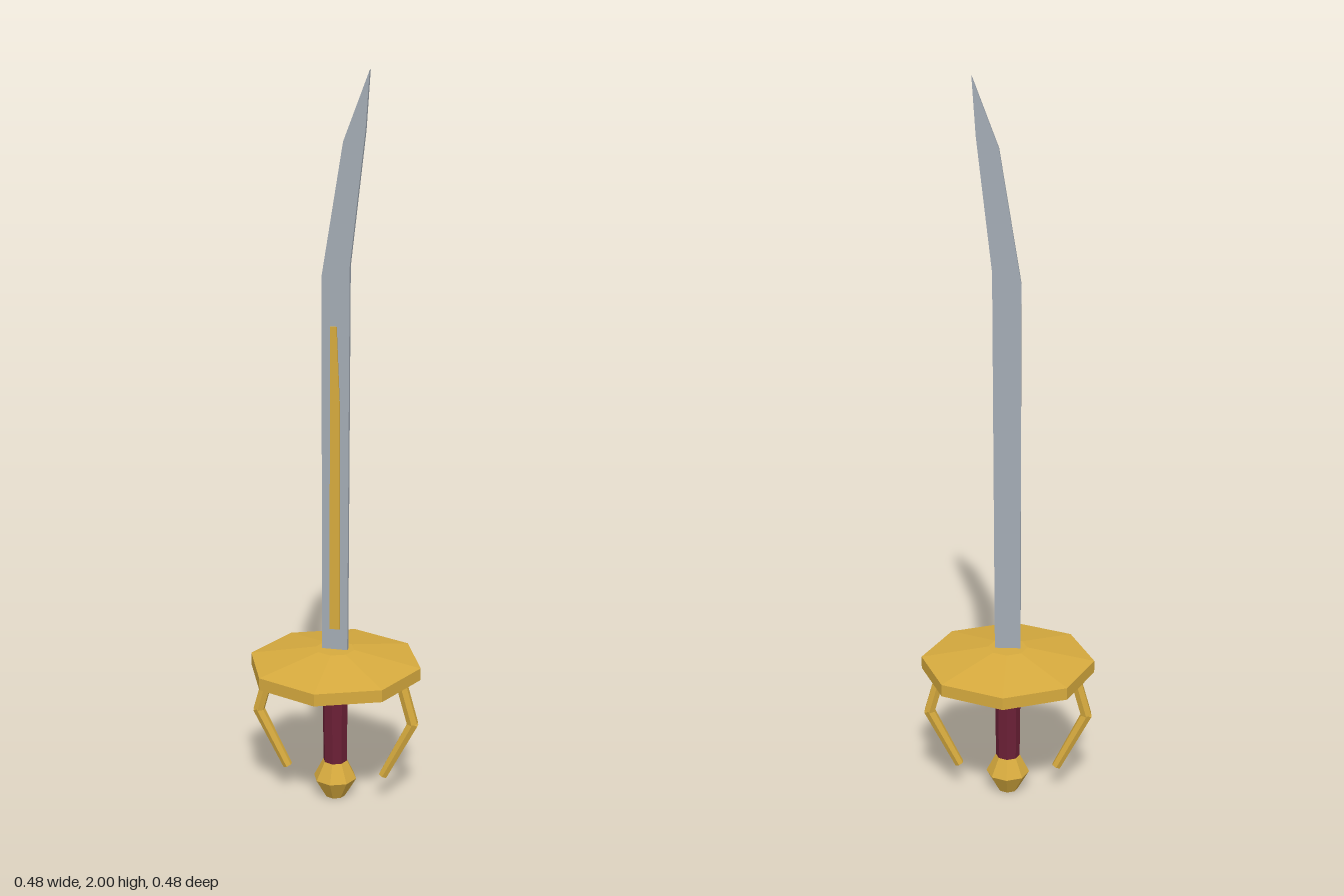
import * as THREE from 'three';

const flat = (name, color) => new THREE.MeshStandardMaterial({ name, color, flatShading: true });

export function createModel() {
  const gold = flat('gold', 0xd6aa3e);
  const steel = flat('steel', 0xa3abb4);
  const leather = flat('dark red leather', 0x6b2036);
  const group = new THREE.Group();

  const add = (name, geometry, material, parent = group) => {
    const mesh = new THREE.Mesh(geometry, material);
    mesh.name = name;
    parent.add(mesh);
    return mesh;
  };
  const lathe = (points) =>
    new THREE.LatheGeometry(points.map(([r, y]) => new THREE.Vector2(r, y)), 8);
  // Flat outline extruded from z0 to z1
  const plate = (points, z0, z1) => {
    const shape = new THREE.Shape(points.map(([x, y]) => new THREE.Vector2(x, y)));
    return new THREE.ExtrudeGeometry(shape, { depth: z1 - z0, bevelEnabled: false }).translate(0, 0, z0);
  };

  // Pommel, grip and dished octagonal guard
  add('pommel', lathe([[0, 0], [0.028, 0.002], [0.06, 0.057], [0.034, 0.108], [0, 0.112]]), gold);
  add('grip', new THREE.CylinderGeometry(0.036, 0.033, 0.28, 8).translate(0, 0.24, 0), leather);
  add('guard', lathe([[0, 0.37], [0.238, 0.37], [0.238, 0.404], [0.054, 0.44], [0, 0.44]]), gold);

  // Curved blade with a single sweeping tip
  add('blade', plate([
    [-0.035, 0.4], [0.035, 0.4], [0.04, 1.5], [0.08, 1.85],
    [0.09, 2], [0.022, 1.82], [-0.035, 1.47],
  ], -0.0065, 0.0065), steel);

  // Gold inlay on the front of the blade
  add('bladeInlay', plate([
    [-0.013, 0.5], [0.015, 0.5], [0.014, 1.14], [0.006, 1.34], [-0.011, 1.34],
  ], 0.0065, 0.0115), gold);

  // Bent finger guards on both sides of the grip
  const bar = (a, b, r0, r1) => {
    const from = new THREE.Vector3(...a);
    const dir = new THREE.Vector3(...b).sub(from);
    const length = dir.length();
    const turn = new THREE.Quaternion().setFromUnitVectors(new THREE.Vector3(0, 1, 0), dir.normalize());
    return new THREE.CylinderGeometry(r1, r0, length, 6)
      .translate(0, length / 2, 0)
      .applyQuaternion(turn)
      .translate(...a);
  };
  for (const side of [1, -1]) {
    const arm = new THREE.Group();
    arm.name = side > 0 ? 'leftFingerGuard' : 'rightFingerGuard';
    add('upperBar', bar([side * 0.218, 0.238, 0], [side * 0.18, 0.375, 0], 0.016, 0.016), gold, arm);
    add('lowerBar', bar([side * 0.136, 0.076, 0], [side * 0.22, 0.242, 0], 0.013, 0.016), gold, arm);
    group.add(arm);
  }
  return group;
}
